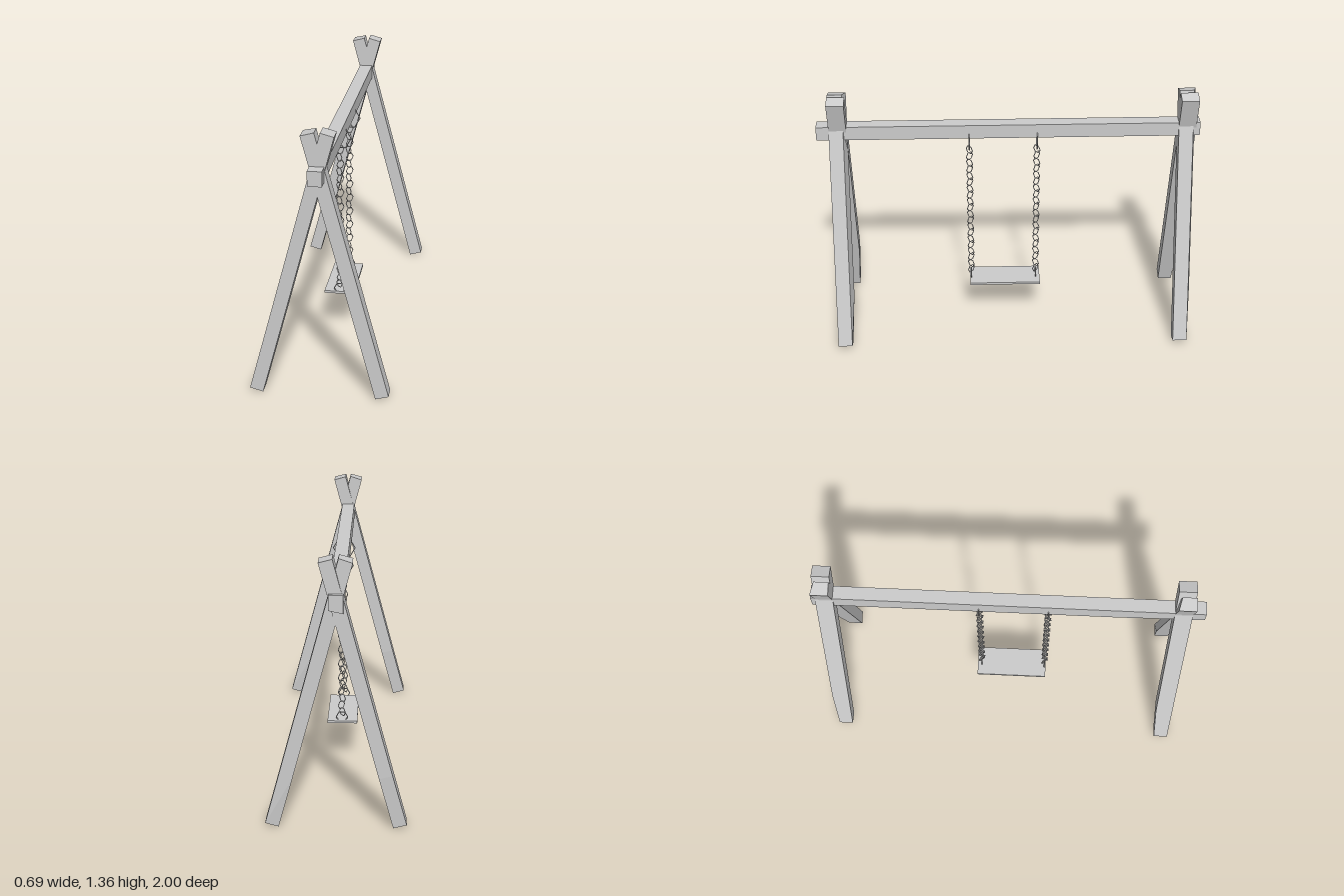
import * as THREE from 'three';

const material = new THREE.MeshStandardMaterial({ color: 0xcccccc, flatShading: true });

function add(parent, name, geometry, x = 0, y = 0, z = 0) {
  const mesh = new THREE.Mesh(geometry, material);
  mesh.name = name;
  mesh.position.set(x, y, z);
  parent.add(mesh);
  return mesh;
}

// Squared timber: a box whose vertices are moved by a rule
function timber(w, h, d, segY, segZ, rule) {
  const g = new THREE.BoxGeometry(w, h, d, 1, segY, segZ);
  const p = g.attributes.position;
  const v = new THREE.Vector3();
  for (let i = 0; i < p.count; i++) {
    v.fromBufferAttribute(p, i);
    rule(v);
    p.setXYZ(i, v.x, v.y, v.z);
  }
  g.computeVertexNormals();
  return g;
}

// One leg of an A-frame, leaning inward and crossing its partner at the top
function addLeg(frame, side) {
  const length = 1.385;
  const g = timber(0.068, length, 0.075, 5, 1, (v) => {
    const low = v.y < -length / 2 + 0.01;
    const outer = v.x * side > 0;
    // The back face thickens a little above the foot
    if (v.z < 0 && !low && !(side > 0 && outer)) v.z -= 0.016;
  });
  const leg = add(frame, side > 0 ? 'leftLeg' : 'rightLeg', g, side * 0.1325, 0.681, 0);
  leg.rotation.z = side * 0.262;
}

// Six-sided wire ring in the xy plane
function addRing(parent, name, radius, y, turn = 0, x = 0) {
  const ring = add(parent, name, new THREE.TorusGeometry(radius, 0.003, 4, 6), x, y, 0);
  ring.rotation.y = turn;
}

function addChain(parent, name, z) {
  const chain = new THREE.Group();
  chain.name = name;
  chain.position.z = z;
  addRing(chain, 'beamRing', 0.059, 1.1);
  addRing(chain, 'seatRing', 0.031, 0.253);
  const links = 20;
  for (let i = 0; i < links; i++) {
    const odd = i % 2 ? 1 : -1;
    addRing(chain, 'chainLink', 0.023, 0.282 + (i * 0.755) / (links - 1), odd * Math.PI / 4, odd * 0.003);
  }
  parent.add(chain);
}

export function createModel() {
  const model = new THREE.Group();
  model.name = 'swing';

  // A-frames
  for (const [name, z] of [['frontFrame', 0.896], ['backFrame', -0.921]]) {
    const frame = new THREE.Group();
    frame.name = name;
    frame.position.z = z;
    addLeg(frame, 1);
    addLeg(frame, -1);
    model.add(frame);
  }

  // Cross beam, with one lower edge sagging slightly behind the front frame
  const beam = timber(0.07, 0.075, 1.995, 1, 9, (v) => {
    if (v.y < 0 && v.x < 0 && v.z < 0.9) v.y -= v.z < 0.6 ? 0.015 : 0.008;
  });
  add(model, 'crossBeam', beam, -0.002, 1.158, 0.002);

  // Chains and seat
  addChain(model, 'frontChain', 0.208);
  addChain(model, 'backChain', -0.147);
  add(model, 'seat', new THREE.BoxGeometry(0.16, 0.013, 0.385), -0.003, 0.231, 0.023);

  return model;
}
